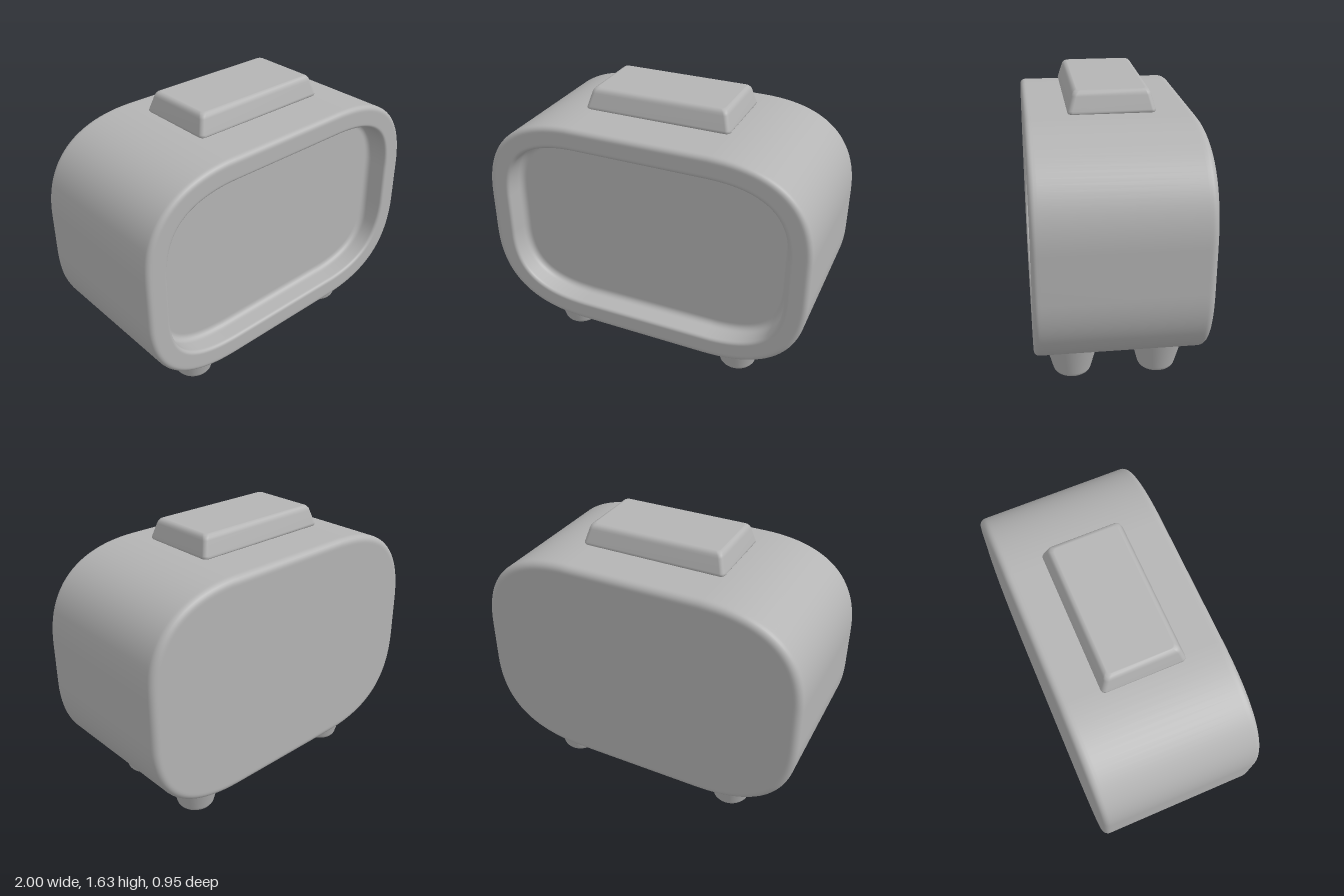
import * as THREE from 'three';

const grey = new THREE.MeshStandardMaterial({ color: 0xb4b4b4 });
grey.name = 'grey';

// Soft-cornered rectangle, counter-clockwise, as [x, y, inwardX, inwardY].
// Square insets keep the corner radius; otherwise insets follow the normal.
function outline(hx, hy, dx, dy, k, steps, squareInset) {
  const curve = new THREE.CubicBezierCurve(
    new THREE.Vector2(hx, hy - dy), new THREE.Vector2(hx, hy - dy * (1 - k)),
    new THREE.Vector2(hx - dx * (1 - k), hy), new THREE.Vector2(hx - dx, hy));
  const points = [];
  for (const [sx, sy] of [[1, 1], [-1, 1], [-1, -1], [1, -1]]) {
    for (let i = 0; i <= steps; i++) {
      const t = sx * sy > 0 ? i / steps : 1 - i / steps;
      const p = curve.getPoint(t), d = curve.getTangent(t);
      const n = squareInset ? [1, 1] : [d.y, -d.x];
      points.push([sx * p.x, sy * p.y, -sx * n[0], -sy * n[1]]);
    }
  }
  return points;
}

// Sweep an [inset, height] profile round an outline and close both ends.
function loft(points, profile) {
  const n = points.length, pos = [], index = [];
  for (const [inset, h] of profile)
    for (const [x, y, nx, ny] of points) pos.push(x + nx * inset, y + ny * inset, h);
  const last = profile.length - 1, c0 = n * profile.length;
  pos.push(0, 0, profile[0][1], 0, 0, profile[last][1]);
  for (let i = 0; i < n; i++) {
    const k = (i + 1) % n;
    for (let j = 0; j < last; j++) {
      const a = j * n + i, b = j * n + k;
      index.push(a, b, b + n, a, b + n, a + n);
    }
    index.push(c0, k, i, c0 + 1, last * n + i, last * n + k);
  }
  const g = new THREE.BufferGeometry();
  g.setAttribute('position', new THREE.Float32BufferAttribute(pos, 3));
  g.setIndex(index);
  g.computeVertexNormals();
  return g;
}

// Rounded step in a profile, angles in degrees
function arc(inset, h, r, from, to, steps = 6) {
  return Array.from({ length: steps + 1 }, (_, i) => {
    const a = THREE.MathUtils.degToRad(from + (to - from) * i / steps);
    return [inset + r * Math.cos(a), h + r * Math.sin(a)];
  });
}

export function createModel() {
  const model = new THREE.Group();
  const add = (name, geometry, x = 0, y = 0, z = 0) => {
    const mesh = new THREE.Mesh(geometry, grey);
    mesh.name = name;
    mesh.position.set(x, y, z);
    model.add(mesh);
  };

  // Housing: back face, rounded edges, front rim and recessed panel
  add('housing', loft(outline(1, 0.66, 0.6, 0.53, 0.66, 24, false), [
    [0.05, -0.475],
    ...arc(0.04, -0.435, 0.04, -90, -180),
    [0, -0.42], [0, 0.43],
    ...arc(0.03, 0.445, 0.03, 180, 90),
    [0.04, 0.475], [0.105, 0.475],
    ...arc(0.113, 0.455, 0.02, 90, 0),
    [0.133, 0.445], [0.133, 0.385],
    ...arc(0.168, 0.375, 0.035, 180, 270),
    [0.175, 0.34],
  ]), 0, 0.82, 0);

  // Top button on a narrow neck
  add('buttonNeck', new THREE.BoxGeometry(0.62, 0.06, 0.33), 0, 1.49, 0);
  const button = loft(outline(0.435, 0.24, 0.025, 0.025, 0.55, 5, true), [
    [0.02, 0], [0.015, 0], [0.004, 0.003], [0, 0.01], [0.002, 0.02],
    [0.024, 0.095], [0.029, 0.109], [0.038, 0.12], [0.05, 0.125], [0.055, 0.125],
  ]);
  button.rotateX(-Math.PI / 2);
  add('button', button, 0, 1.505, 0);

  // Four tapered feet with rounded soles
  const footProfile = [[0, 0], [0.088, 0], [0.093, 0], [0.102, 0.004],
    [0.109, 0.014], [0.112, 0.024], [0.151, 0.17], [0.169, 0.24]]
    .map(([r, y]) => new THREE.Vector2(r, y));
  const foot = new THREE.LatheGeometry(footProfile, 40);
  for (const x of [-0.555, 0.555])
    for (const z of [-0.25, 0.25])
      add(`${z > 0 ? 'front' : 'back'}${x > 0 ? 'Left' : 'Right'}Foot`, foot, x, 0, z);

  return model;
}
